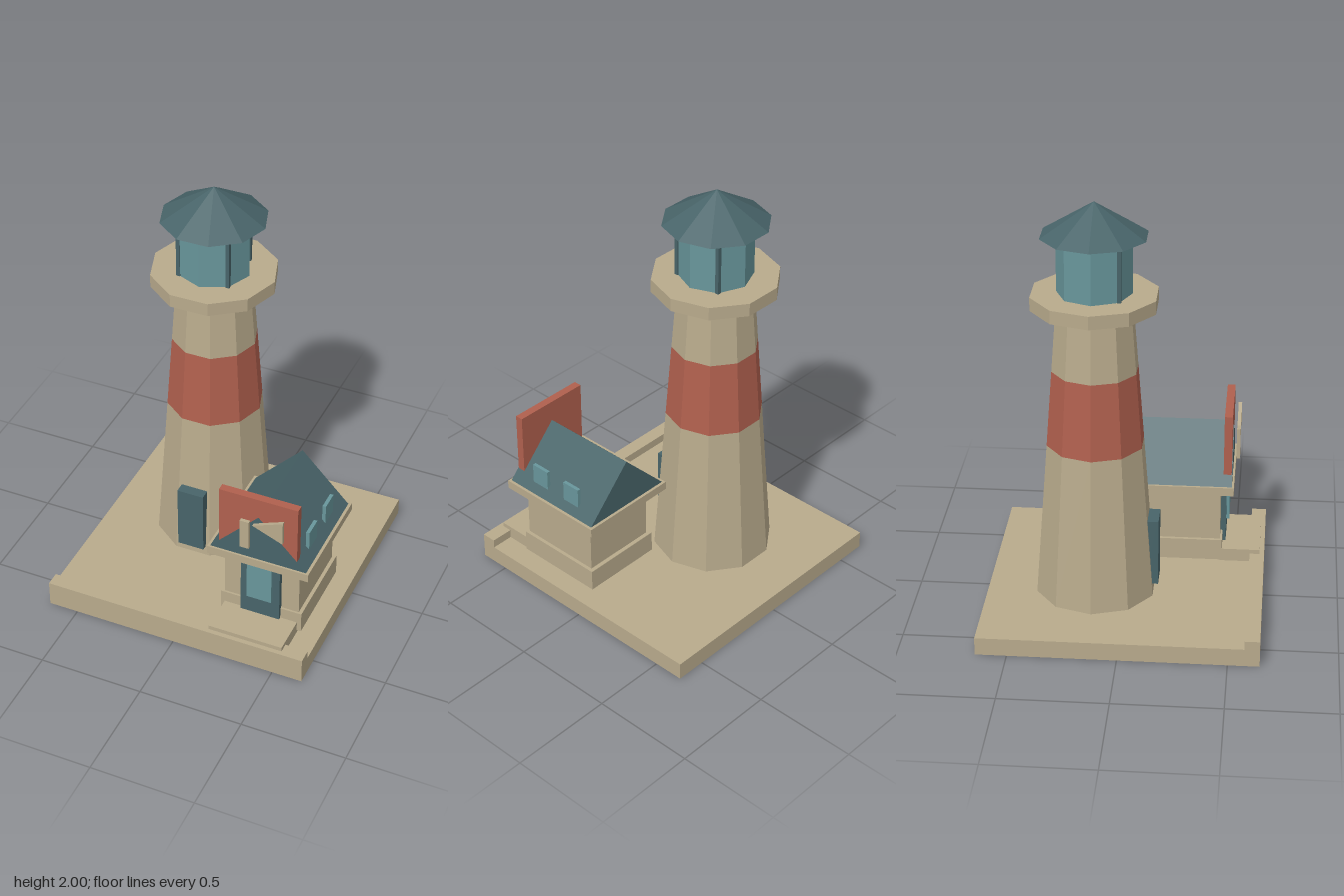
import * as THREE from 'three';

const mat = (name, color) => {
  const m = new THREE.MeshStandardMaterial({ color, flatShading: true });
  m.name = name;
  return m;
};

export function createModel() {
  const stone = mat('stone', 0xb8aa8c);
  const red = mat('brick red', 0xb0604e);
  const teal = mat('dark teal', 0x486469);
  const glass = mat('glass blue', 0x68969b);

  const root = new THREE.Group();
  root.name = 'lighthouse';

  const add = (parent, name, geometry, material) => {
    const mesh = new THREE.Mesh(geometry, material);
    mesh.name = name;
    parent.add(mesh);
    return mesh;
  };
  // Box given by its extents on each axis
  const box = (parent, name, material, [x0, x1], [y0, y1], [z0, z1]) => {
    const mesh = add(parent, name, new THREE.BoxGeometry(x1 - x0, y1 - y0, z1 - z0), material);
    mesh.position.set((x0 + x1) / 2, (y0 + y1) / 2, (z0 + z1) / 2);
    return mesh;
  };
  // Polygon in x-y, extruded from z0 to z1
  const prism = (parent, name, material, points, z0, z1) => {
    const shape = new THREE.Shape(points.map(([x, y]) => new THREE.Vector2(x, y)));
    const geometry = new THREE.ExtrudeGeometry(shape, { depth: z1 - z0, bevelEnabled: false });
    geometry.translate(0, 0, z0);
    return add(parent, name, geometry, material);
  };

  // Ground slab with front curb
  box(root, 'groundSlab', stone, [-0.645, 0.645], [0, 0.085], [-0.645, 0.645]);
  box(root, 'frontCurb', stone, [-0.645, 0.645], [0.085, 0.127], [0.575, 0.645]);

  // Tower, with a corner of each ring on the x axis
  const tower = new THREE.Group();
  tower.name = 'tower';
  tower.position.set(-0.132, 0, -0.138);
  root.add(tower);
  const ring = (name, material, rBottom, rTop, y0, y1, sides = 10) => {
    const start = sides === 10 ? Math.PI / 10 : 0;
    const geometry = new THREE.CylinderGeometry(rTop, rBottom, y1 - y0, sides, 1, false, start);
    add(tower, name, geometry, material).position.y = (y0 + y1) / 2;
  };
  const wallRadius = (y) => 0.285 - ((y - 0.1) / 1.415) * 0.107;
  const wall = (name, material, y0, y1) => ring(name, material, wallRadius(y0), wallRadius(y1), y0, y1);
  wall('lowerWall', stone, 0.1, 0.85);
  wall('redBand', red, 0.85, 1.213);
  wall('upperWall', stone, 1.213, 1.515);
  ring('gallery', stone, 0.294, 0.294, 1.515, 1.578);
  ring('lanternRoom', glass, 0.171, 0.171, 1.578, 1.845, 8);
  ring('lanternRoof', teal, 0.246, 0, 1.845, 2);

  // Lantern posts
  for (const [x, z] of [[-0.12, 0.12], [0.12, 0.12], [0.12, -0.12]]) {
    box(tower, 'lanternPost', teal, [x - 0.009, x + 0.009], [1.578, 1.845], [z - 0.009, z + 0.009]);
  }
  box(root, 'towerDoor', teal, [-0.197, -0.065], [0.15, 0.475], [0.08, 0.157]);

  // House
  const house = new THREE.Group();
  house.name = 'house';
  root.add(house);
  box(house, 'plinth', stone, [0.153, 0.557], [0.1, 0.205], [-0.005, 0.44]);
  box(house, 'walls', stone, [0.17, 0.54], [0.205, 0.468], [0.015, 0.43]);
  box(house, 'eaves', stone, [0.108, 0.604], [0.467, 0.508], [-0.056, 0.493]);
  prism(house, 'gableRoof', teal, [[0.12, 0.508], [0.59, 0.508], [0.355, 0.752]], -0.042, 0.483);
  box(house, 'doorstep', stone, [0.173, 0.536], [0.085, 0.148], [0.43, 0.623]);
  box(house, 'houseDoor', teal, [0.26, 0.453], [0.11, 0.467], [0.425, 0.455]);
  box(house, 'doorGlass', glass, [0.296, 0.418], [0.25, 0.467], [0.45, 0.47]);

  // Tall side windows that pass through the eaves
  for (const z of [0.12, 0.319]) {
    box(house, 'sideWindow', glass, [0.54, 0.557], [0.424, 0.64], [z - 0.047, z + 0.047]);
  }

  // Red board on the gable, with raised shapes
  box(house, 'gableBoard', red, [0.163, 0.544], [0.55, 0.853], [0.442, 0.48]);
  box(house, 'boardBar', stone, [0.279, 0.323], [0.584, 0.737], [0.498, 0.515]);
  prism(house, 'boardTriangle', stone, [[0.34, 0.727], [0.486, 0.667], [0.486, 0.787]], 0.498, 0.515);

  return root;
}
